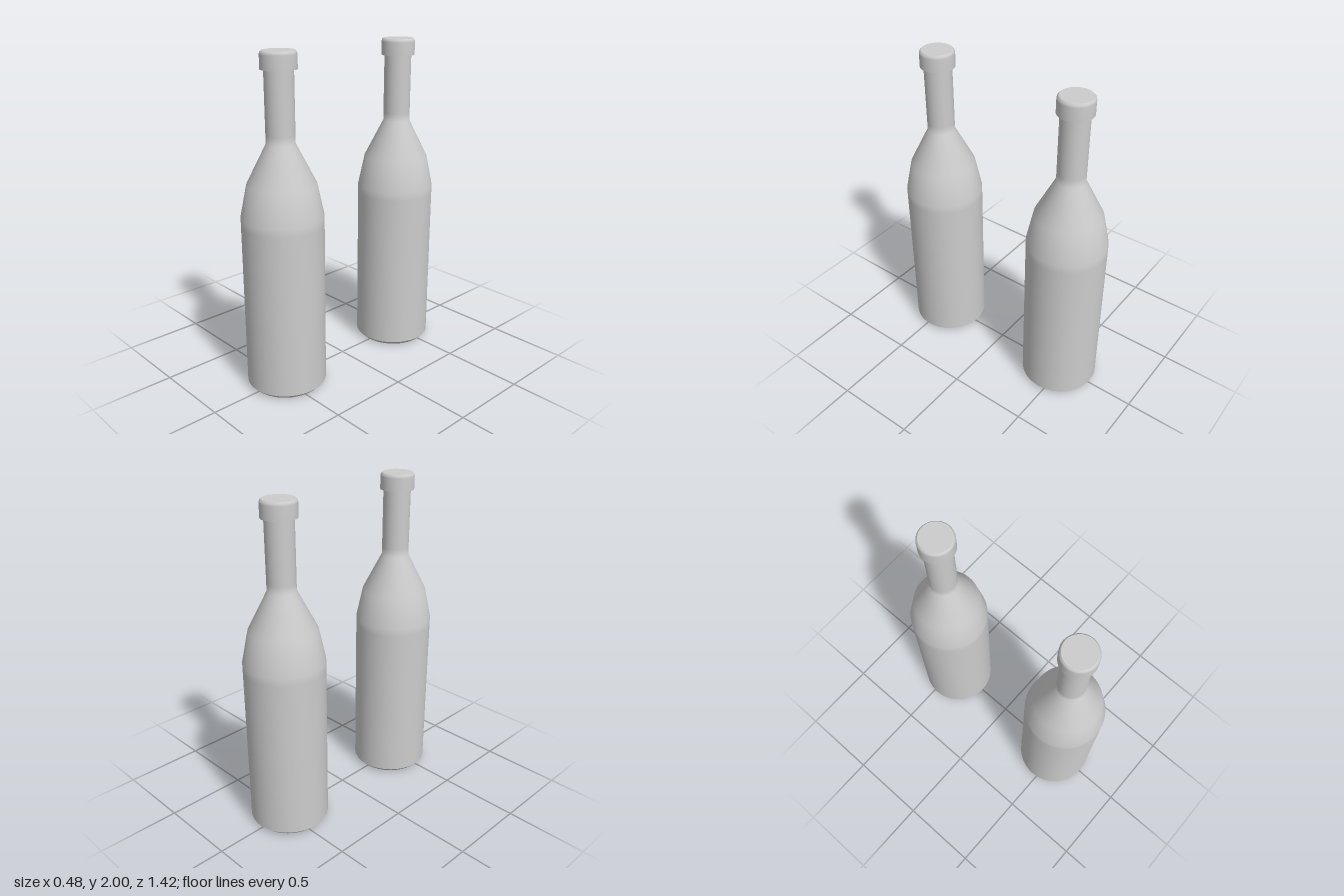
import * as THREE from 'three';

const glass = new THREE.MeshStandardMaterial({ color: 0xcccccc });
glass.name = 'plainGrey';

// Each turned section has its own smooth normals, so section borders stay sharp
const sections = {
  baseDisc: [[0, 0], [0.215, 0]],
  baseBevel: [[0.215, 0], [0.24, 0.025]],
  body: [[0.24, 0.025], [0.24, 1.02], [0.24, 1.07], [0.2, 1.26], [0.083, 1.49], [0.083, 1.54], [0.083, 1.9]],
  lipUnderside: [[0.083, 1.9], [0.103, 1.9]],
  lip: [[0.103, 1.9], [0.103, 1.98], [0.1, 1.992], [0.092, 2]],
  lipTop: [[0.092, 2], [0, 2]],
};

function createBottle(name) {
  const bottle = new THREE.Group();
  bottle.name = name;
  for (const [part, profile] of Object.entries(sections)) {
    const points = profile.map(([r, y]) => new THREE.Vector2(r, y));
    const mesh = new THREE.Mesh(new THREE.LatheGeometry(points, 48), glass);
    mesh.name = part;
    bottle.add(mesh);
  }
  return bottle;
}

export function createModel() {
  const model = new THREE.Group();
  model.name = 'bottlePair';
  // Two identical bottles, one behind the other
  for (const [name, z] of [['frontBottle', 0.468], ['backBottle', -0.468]]) {
    const bottle = createBottle(name);
    bottle.position.z = z;
    model.add(bottle);
  }
  return model;
}
